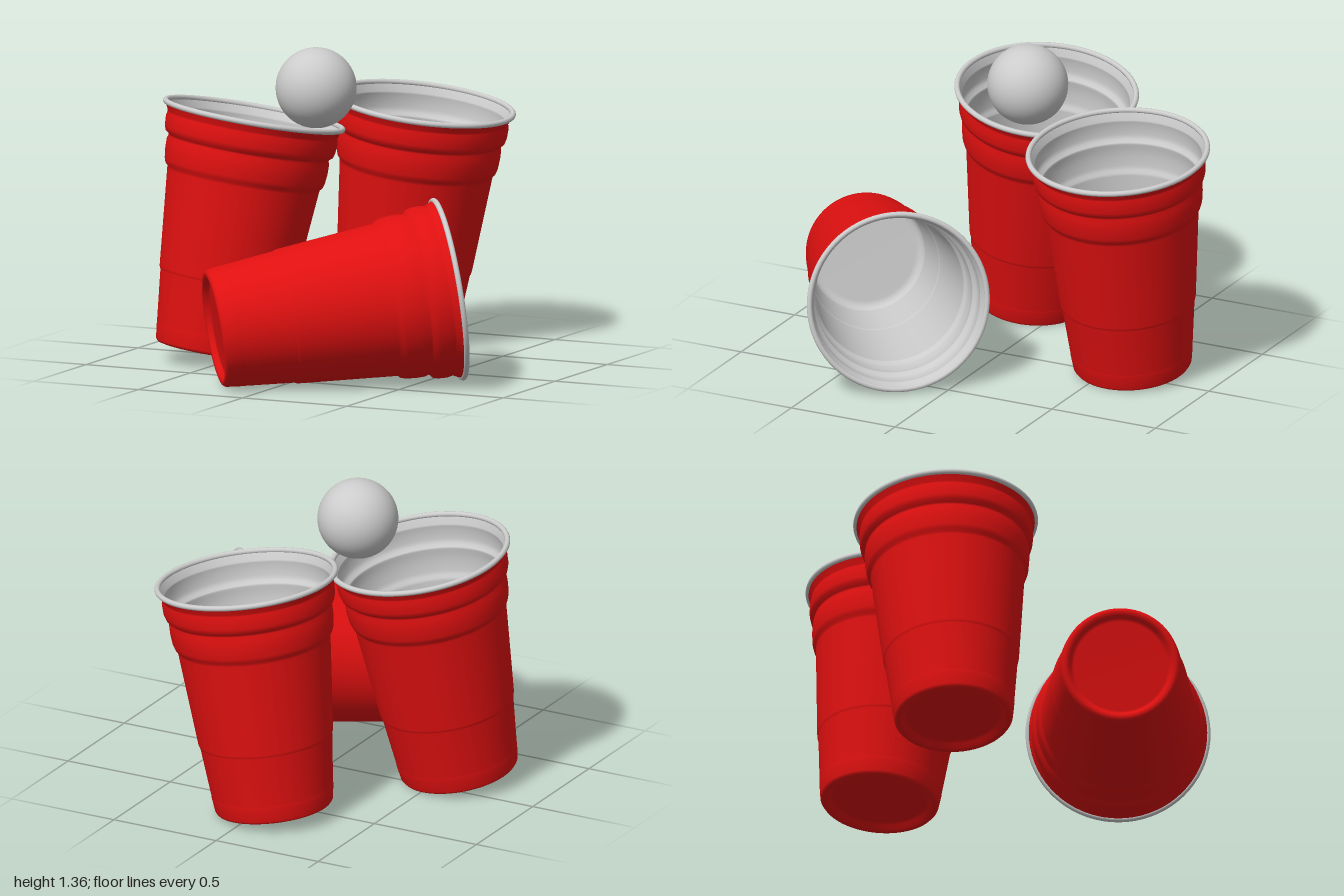
import * as THREE from 'three';

const SEGMENTS = 72;
const red = new THREE.MeshStandardMaterial({ color: 0xe01010 });
const grey = new THREE.MeshStandardMaterial({ color: 0xcccccc });

// Outer wall as [radius, height]: recessed underside, foot, tapered body, grip bands, lip
const OUTER = [
  [0, 0.03], [0.2, 0.03], [0.213, 0.024], [0.22, 0.006], [0.234, 0], [0.247, 0.003], [0.255, 0.014],
  [0.263, 0.074], [0.261, 0.079], [0.263, 0.085], [0.286, 0.31], [0.29, 0.316], [0.292, 0.325],
  [0.33, 0.745], [0.332, 0.757], [0.342, 0.767], [0.348, 0.785], [0.353, 0.83], [0.353, 0.87],
  [0.348, 0.886], [0.351, 0.895], [0.365, 0.905], [0.371, 0.925], [0.373, 0.965], [0.369, 0.985],
  [0.37, 0.993], [0.386, 1.025],
];

// Inner wall follows the outer one, from the lip down to the floor
const THICKNESS = 0.009;
const INNER = [
  ...OUTER.slice(7).reverse().map(([r, y]) => [r - THICKNESS, y]),
  [0.246, 0.058], [0.236, 0.046], [0.215, 0.042], [0, 0.042],
];

const lathe = (profile) =>
  new THREE.LatheGeometry(profile.map(([r, y]) => new THREE.Vector2(r, y)), SEGMENTS);

const outerGeometry = lathe(OUTER);
const innerGeometry = lathe(INNER);
const rimGeometry = new THREE.TorusGeometry(0.385, 0.012, 12, SEGMENTS).rotateX(Math.PI / 2).translate(0, 1.03, 0);

function addMesh(parent, name, geometry, material) {
  const mesh = new THREE.Mesh(geometry, material);
  mesh.name = name;
  parent.add(mesh);
  return mesh;
}

// A cup standing on the point base, its axis aimed at the centre of its mouth
function makeCup(name, base, mouth) {
  const cup = new THREE.Group();
  cup.name = name;
  addMesh(cup, 'outerWall', outerGeometry, red);
  addMesh(cup, 'innerWall', innerGeometry, grey);
  addMesh(cup, 'rim', rimGeometry, grey);
  const start = new THREE.Vector3(...base);
  const axis = new THREE.Vector3(...mouth).sub(start).normalize();
  cup.position.copy(start);
  cup.quaternion.setFromUnitVectors(new THREE.Vector3(0, 1, 0), axis);
  return cup;
}

export function createModel() {
  const model = new THREE.Group();
  model.name = 'cupsAndBall';

  // Two leaning cups and one lying on its side
  model.add(makeCup('frontCup', [-0.565, 0.046, 0.14], [-0.437, 1.07, 0.008]));
  model.add(makeCup('backCup', [-0.065, 0.036, -0.598], [0.075, 1.07, -0.598]));
  model.add(makeCup('lyingCup', [-0.245, 0.257, 0.79], [0.595, 0.405, 0.19]));

  // Ball resting on the rims
  addMesh(model, 'ball', new THREE.SphereGeometry(0.174, 48, 32), grey).position.set(-0.166, 1.19, -0.04);

  return model;
}
